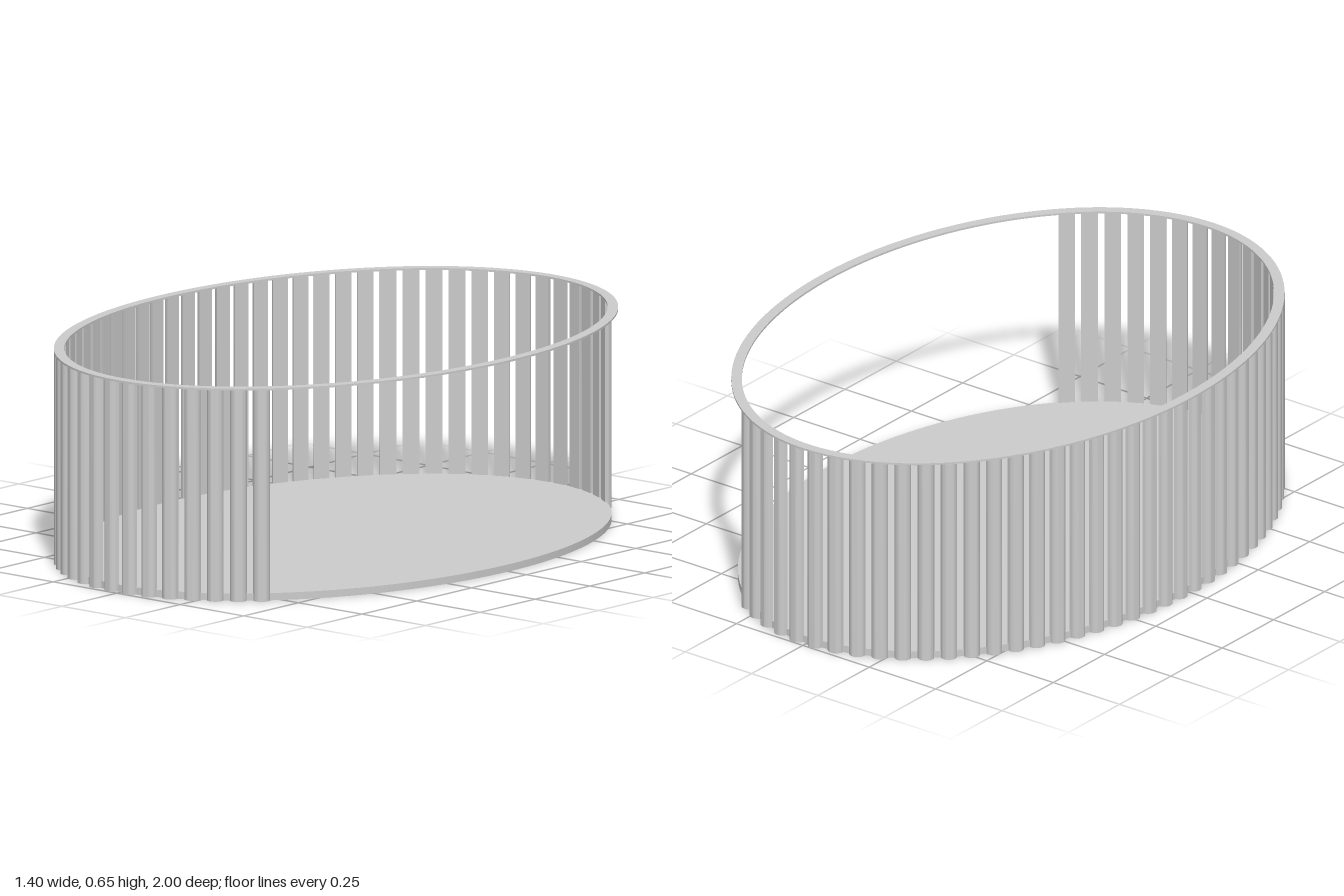
import * as THREE from 'three';
import { toCreasedNormals } from 'three/addons/utils/BufferGeometryUtils.js';

const material = new THREE.MeshStandardMaterial({ color: 0xcccccc });
const HEIGHT = 0.65, RIM_THICKNESS = 0.006, BASE_THICKNESS = 0.022, RECESS = 0.01;
const SLAT_COUNT = 50, SLAT_SPACING = 0.0688, SLAT_RADIUS = 0.025;

const ellipse = (Type, rx, rz, x = 0, z = 0) =>
  new Type().absellipse(x, z, rx, rz, 0, Math.PI * 2, false, 0);

// Extrudes a plan outline upwards from y = 0
function extrudeUp(shape, height, curveSegments) {
  const geometry = new THREE.ExtrudeGeometry(shape, { depth: height, bevelEnabled: false, curveSegments });
  geometry.rotateX(-Math.PI / 2);
  return toCreasedNormals(geometry, 0.6);
}

function addPart(group, name, geometry, y = 0) {
  const mesh = new THREE.Mesh(geometry, material);
  mesh.name = name;
  mesh.position.y = y;
  group.add(mesh);
  return mesh;
}

export function createModel() {
  const model = new THREE.Group();
  model.name = 'ovalSlattedEnclosure';

  // Oval base: underside layer with four shallow round recesses, solid layer above
  const underside = ellipse(THREE.Shape, 0.68, 0.98);
  for (const sx of [-1, 1]) {
    for (const sz of [-1, 1]) {
      underside.holes.push(ellipse(THREE.Path, 0.024, 0.024, sx * 0.29, sz * 0.65));
    }
  }
  addPart(model, 'baseUnderside', extrudeUp(underside, RECESS, 96));
  addPart(model, 'baseTop', extrudeUp(ellipse(THREE.Shape, 0.68, 0.98), BASE_THICKNESS - RECESS, 96), RECESS);

  // Thin flat rim closing the full oval
  const rim = ellipse(THREE.Shape, 0.7, 1);
  rim.holes.push(ellipse(THREE.Path, 0.668, 0.968));
  addPart(model, 'topRim', extrudeUp(rim, RIM_THICKNESS, 96), HEIGHT - RIM_THICKNESS);

  // Half-round slats, evenly spaced along the oval, leaving one side open
  const profile = new THREE.Shape().absarc(0, 0, SLAT_RADIUS, Math.PI, Math.PI * 2, false);
  profile.closePath();
  const slatGeometry = extrudeUp(profile, HEIGHT - RIM_THICKNESS, 16);
  const rx = 0.675, rz = 0.975;
  const start = Math.acos(0.392 / rx);
  const path = new THREE.EllipseCurve(0, 0, rx, rz, start, start + Math.PI * 2, false, 0);
  path.arcLengthDivisions = 1000;
  const length = path.getLength();
  const slats = new THREE.Group();
  slats.name = 'slats';
  for (let i = 0; i < SLAT_COUNT; i++) {
    const p = path.getPointAt((i * SLAT_SPACING) / length);
    const slat = addPart(slats, 'slat', slatGeometry);
    slat.position.set(p.x, 0, p.y);
    slat.rotation.y = Math.atan2(p.x / (rx * rx), p.y / (rz * rz));
  }
  model.add(slats);
  return model;
}
